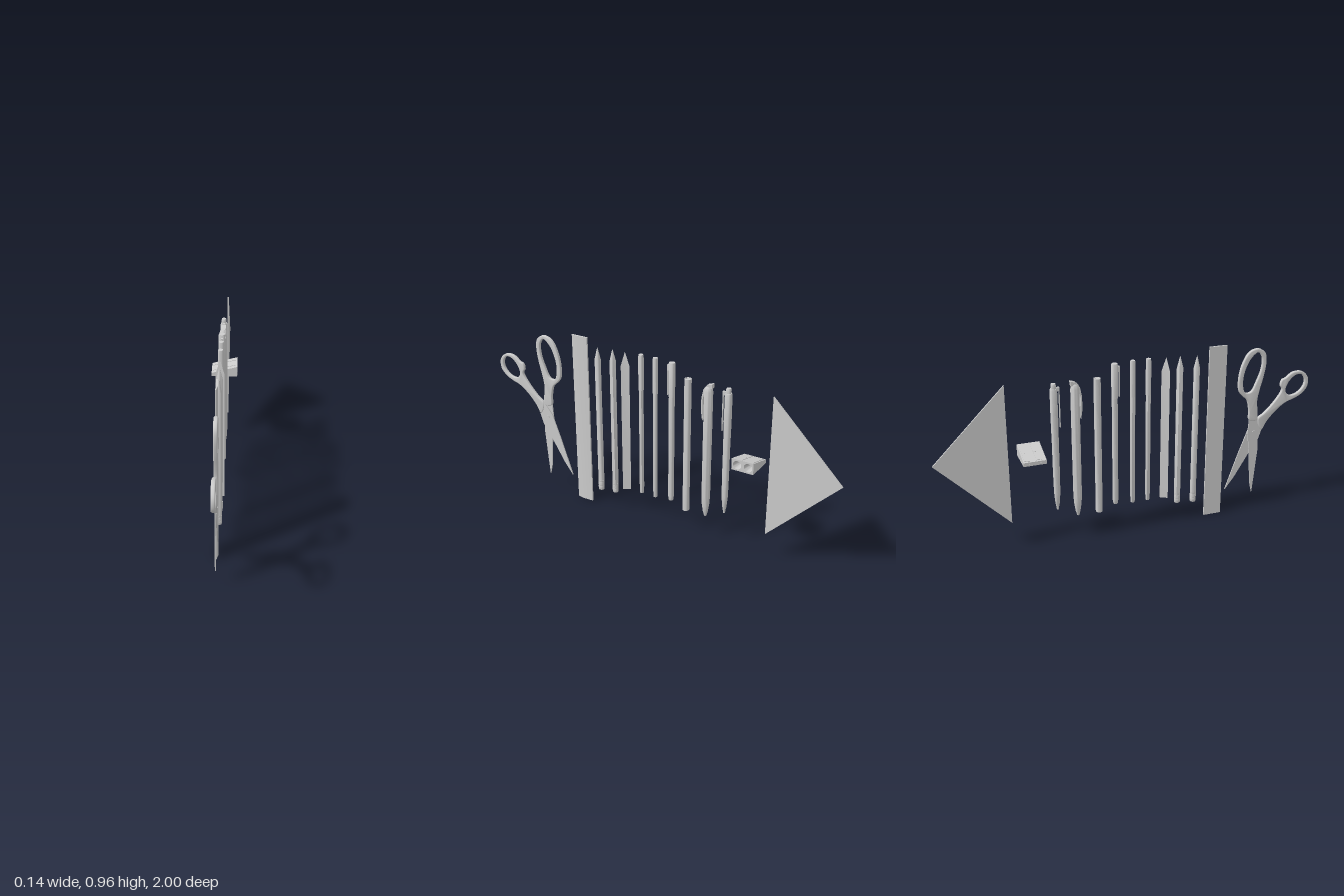
import * as THREE from 'three';
import { toCreasedNormals } from 'three/addons/utils/BufferGeometryUtils.js';

const grey = new THREE.MeshStandardMaterial({ color: 0xcccccc, side: THREE.DoubleSide });
const v2 = (list) => list.map(([a, b]) => new THREE.Vector2(a, b));

function part(parent, name, geometry, x = 0, y = 0, z = 0) {
  const mesh = new THREE.Mesh(toCreasedNormals(geometry, 0.6), grey);
  mesh.name = name;
  mesh.position.set(x, y, z);
  parent.add(mesh);
  return mesh;
}

// Upright turned body from [radius, height] pairs, bottom to top
function turned(parent, name, z, profile, sides = 24, start = 0) {
  return part(parent, name, new THREE.LatheGeometry(v2(profile), sides, start), 0, 0, z);
}

// Side outline in (-z, y), extruded across x and centred
function slab(shape, width, bevel = 0) {
  const g = new THREE.ExtrudeGeometry(shape, {
    depth: width - 2 * bevel, curveSegments: 12, bevelEnabled: bevel > 0,
    bevelSize: bevel, bevelThickness: bevel, bevelOffset: -bevel, bevelSegments: 3,
  });
  g.translate(0, 0, bevel - width / 2);
  return g.rotateY(Math.PI / 2);
}

const smoothLoop = (list, n) =>
  new THREE.CatmullRomCurve3(list.map(([a, b]) => new THREE.Vector3(a, b, 0)), true)
    .getPoints(n).slice(0, -1).map((p) => new THREE.Vector2(p.x, p.y));

function scissors() {
  const g = new THREE.Group();
  g.name = 'scissors';
  // Outlines in hundredths, measured from the pivot
  const handles = {
    upperHandle: [
      [[0, 47], [-4, 44.5], [-5, 39.5], [-4, 32], [-2, 24], [-1, 18], [-1.7, 11], [-1.5, 7],
        [3, 7.5], [3.5, 13], [5, 19], [7.3, 21.4], [9.8, 24.5], [10.4, 31], [8.8, 39], [5, 45.5]],
      [[0, 45], [-2.4, 42], [-2.4, 36], [0, 29], [3, 23.5], [6.2, 23.5], [7.8, 28], [7.2, 35], [4, 42]]],
    lowerHandle: [
      [[-26.5, 31.5], [-30.3, 27.8], [-30.3, 22.5], [-27, 18.7], [-22.8, 16.6], [-18, 15], [-12.6, 11.2],
        [-7.2, 5.3], [-4.5, 1], [-2, 7.5], [-6, 10.7], [-12, 17], [-15.3, 22.5], [-14.2, 25], [-15, 28],
        [-17, 28.8], [-21, 31.5]],
      [[-26, 30], [-28.5, 26.7], [-28, 23], [-24.4, 19.5], [-20, 18.8], [-17.4, 21.5], [-18.5, 25.7],
        [-22.2, 29.5]]],
  };
  for (const [name, [outer, hole]] of Object.entries(handles)) {
    const shape = new THREE.Shape(smoothLoop(outer, 80));
    shape.holes.push(new THREE.Path(smoothLoop(hole, 48)));
    part(g, name, slab(shape, 1.9, 0.5));
  }
  const bladeA = [[-1.7, 8], [-2.5, 0], [-3, -10], [-1.5, -28], [-0.8, -36], [0.6, -30], [2.2, -10], [3.5, 0], [3, 8]];
  const bladeB = [[-5, 1], [-3, -5], [2, -12], [10, -25], [15.3, -32], [8, -11], [3, 2], [-2, 8]];
  part(g, 'uprightBlade', slab(new THREE.Shape(v2(bladeA)), 0.6), -0.3);
  part(g, 'slantedBlade', slab(new THREE.Shape(v2(bladeB)), 0.6), 0.3);
  part(g, 'pivotScrew', new THREE.CylinderGeometry(1, 1, 1.7, 20).rotateZ(Math.PI / 2));
  g.scale.setScalar(0.01);
  g.position.set(0, 0.455, 0.696);
  return g;
}

function sharpener() {
  const g = new THREE.Group();
  g.name = 'sharpener';
  const shape = new THREE.Shape(v2([[-0.058, 0], [0.058, 0], [0.058, 0.06], [-0.058, 0.06]]));
  const centres = [-0.028, 0.03];
  for (const c of centres) {
    const hole = new THREE.Path();
    hole.absarc(c, 0.03, 0.022, 0, Math.PI * 2, true);
    shape.holes.push(hole);
  }
  const body = slab(shape, 0.142);
  // Slope the top down towards -x and narrow the holes to a cone
  const p = body.attributes.position;
  for (let i = 0; i < p.count; i++) {
    if (p.getX(i) > 0) continue;
    let y = p.getY(i), z = p.getZ(i);
    if (Math.abs(z) < 0.0575) {
      const c = z < 0 ? -centres[1] : -centres[0];
      z = c + (z - c) * 0.15;
      y = 0.03 + (y - 0.03) * 0.15;
    }
    p.setY(i, y / 3);
    p.setZ(i, z);
  }
  part(g, 'wedgeBody', body);
  // Blades and screws lie on the slope
  const top = new THREE.Group();
  top.name = 'blades';
  top.position.y = 0.04;
  top.rotation.z = Math.atan2(0.04, 0.142);
  for (const c of centres) {
    part(top, 'blade', new THREE.BoxGeometry(0.13, 0.003, 0.026), 0, 0.001, -c - 0.008);
    part(top, 'bladeScrew', new THREE.CylinderGeometry(0.006, 0.006, 0.004, 12), 0, 0.002, -c - 0.011);
  }
  g.add(top);
  g.position.set(0, 0.487, -0.517);
  return g;
}

export function createModel() {
  const model = new THREE.Group();
  model.name = 'stationerySet';
  model.add(scissors());

  // Ruler with one thinned edge
  const section = new THREE.Shape(v2([[-0.009, -0.42], [0, -0.42], [0.002, -0.485], [-0.006, -0.517], [-0.009, -0.517]]));
  const ruler = new THREE.ExtrudeGeometry(section, { depth: 0.96, bevelEnabled: false });
  part(model, 'ruler', ruler.rotateX(-Math.PI / 2), 0, 0.004);

  // Sharpened pencils with rubber and ferrule
  for (const [name, z, y, tip, sides] of [['roundPencil', 0.355, 0.1, 0.925, 24], ['hexPencil', 0.263, 0.11, 0.935, 6]]) {
    const r = sides === 6 ? 0.018 : 0.016;
    turned(model, name, z, [[0, y + 0.04], [r, y + 0.04], [r, tip - 0.065], [0.004, tip - 0.012], [0, tip]], sides);
    turned(model, name + 'Rubber', z, [[0, y], [0.014, y], [0.016, y + 0.004], [0.016, y + 0.02]]);
    turned(model, name + 'Ferrule', z, [[0.0165, y + 0.015], [0.0165, y + 0.022], [0.0155, y + 0.025],
      [0.0165, y + 0.028], [0.0165, y + 0.045], [0.0155, y + 0.048], [0.0165, y + 0.051], [0.0165, y + 0.058], [0.01, y + 0.058]]);
  }
  turned(model, 'triangularPencil', 0.188,
    [[0, 0.155], [0.025, 0.155], [0.025, 0.865], [0.004, 0.925], [0, 0.935]], 3, Math.PI);

  // Two capped fibre pens
  for (const z of [0.094, 0.011]) {
    turned(model, 'fibrePenBarrel', z, [[0, 0.155], [0.01, 0.155], [0.012, 0.16], [0.012, 0.185], [0.0135, 0.19], [0.0135, 0.75]], 6);
    turned(model, 'fibrePenCap', z, [[0.012, 0.75], [0.014, 0.75], [0.014, 0.925], [0.012, 0.94], [0, 0.94]], 12);
  }

  // Capped pen with a straight clip
  turned(model, 'capPenBarrel', -0.084, [[0, 0.165], [0.011, 0.165], [0.013, 0.17], [0.015, 0.19], [0.015, 0.76]]);
  turned(model, 'capPenCap', -0.084, [[0.014, 0.755], [0.0165, 0.755], [0.0165, 0.93], [0.015, 0.935], [0, 0.935]]);
  part(model, 'capPenClip', new THREE.BoxGeometry(0.009, 0.16, 0.004), 0, 0.84, -0.06);
  part(model, 'capPenClipRoot', new THREE.BoxGeometry(0.009, 0.03, 0.014), 0, 0.905, -0.065);

  // Plain marker rod
  turned(model, 'plainMarker', -0.174, [[0, 0.14], [0.013, 0.14], [0.014, 0.135], [0.018, 0.135], [0.018, 0.87],
    [0.013, 0.87], [0.012, 0.866], [0, 0.866]]);

  // Wide pen with an arched clip
  turned(model, 'widePen', -0.288, [[0, 0.13], [0.006, 0.134], [0.013, 0.16], [0.019, 0.2], [0.022, 0.25],
    [0.0225, 0.6], [0.022, 0.83], [0.018, 0.85], [0.01, 0.86], [0, 0.863]]);
  const arch = [[0.311, 0.873], [0.285, 0.865], [0.265, 0.84], [0.255, 0.79], [0.255, 0.72], [0.262, 0.672],
    [0.266, 0.69], [0.261, 0.78], [0.272, 0.825], [0.29, 0.848], [0.311, 0.85]];
  part(model, 'widePenClip', slab(new THREE.Shape(v2(arch)), 0.024));

  // Push-button pen
  turned(model, 'buttonPen', -0.395, [[0, 0.185], [0.005, 0.185], [0.009, 0.215], [0.011, 0.22], [0.016, 0.28],
    [0.0175, 0.4], [0.0175, 0.55], [0.019, 0.7], [0.0185, 0.835], [0.016, 0.845], [0, 0.845]]);
  turned(model, 'pushButton', -0.395, [[0.013, 0.84], [0.0135, 0.862], [0.011, 0.87], [0, 0.87]]);
  part(model, 'buttonPenClip', new THREE.BoxGeometry(0.01, 0.21, 0.004), 0, 0.745, -0.367);
  part(model, 'buttonPenClipRoot', new THREE.BoxGeometry(0.01, 0.02, 0.02), 0, 0.84, -0.375);

  model.add(sharpener());

  // Set square
  const square = new THREE.Shape(v2([[0.632, 0.145], [1, 0.518], [0.632, 0.887]]));
  part(model, 'setSquare', slab(square, 0.008), 0.014);
  return model;
}
